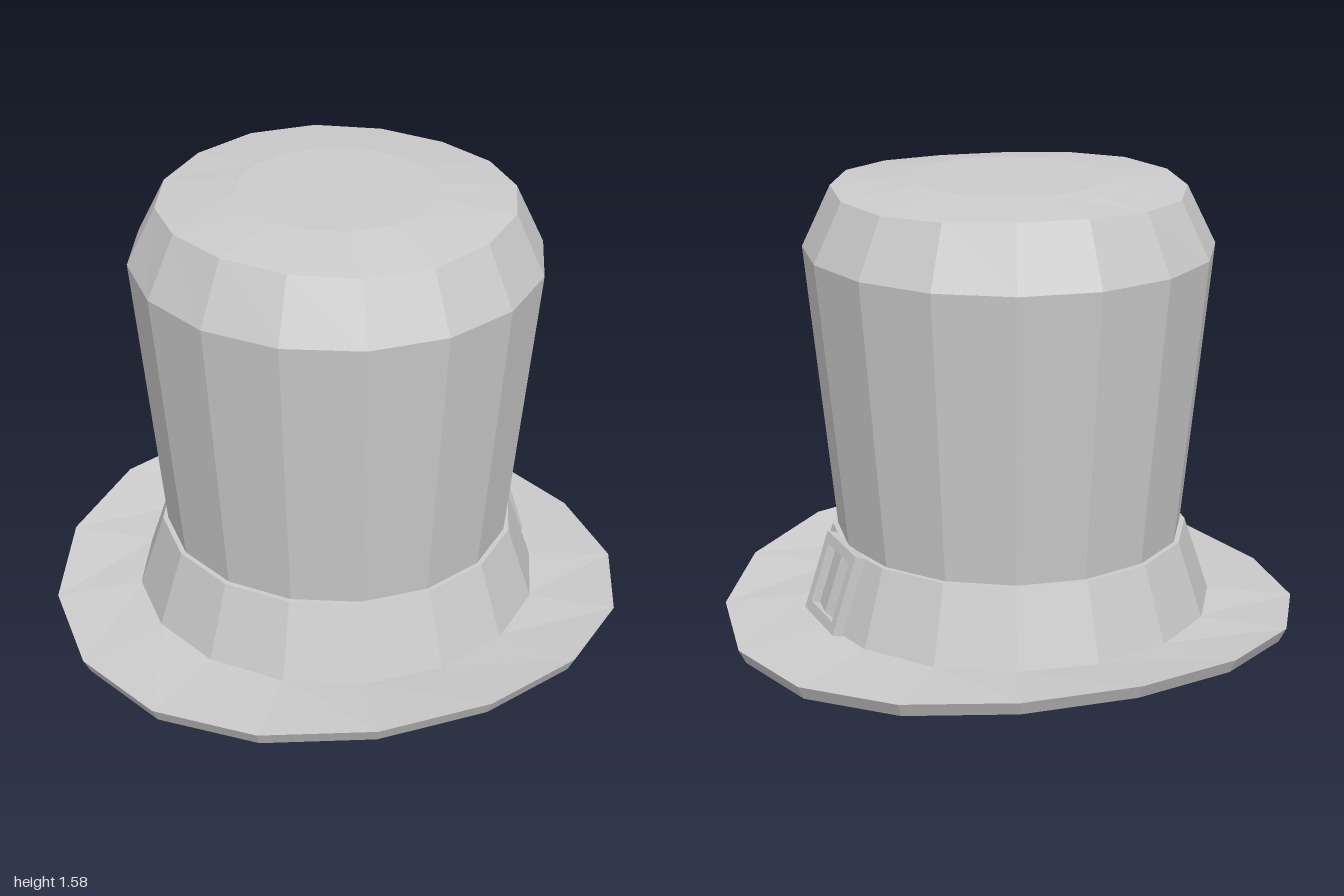
import * as THREE from 'three';

const SIDES = 16;
const material = new THREE.MeshStandardMaterial({ color: 0xcccccc, flatShading: true });

// Faceted ring or shell turned from [radius, height] pairs
function turned(name, profile) {
  const geometry = new THREE.LatheGeometry(profile.map(([r, y]) => new THREE.Vector2(r, y)), SIDES);
  const mesh = new THREE.Mesh(geometry, material);
  mesh.name = name;
  return mesh;
}

// Moves each vertex's height by rule(x, z, y)
function shiftHeights(mesh, rule) {
  const p = mesh.geometry.attributes.position;
  for (let i = 0; i < p.count; i++) {
    p.setY(i, p.getY(i) + rule(p.getX(i), p.getZ(i), p.getY(i)));
  }
  mesh.geometry.computeVertexNormals();
}

function rectangle(path, w, h) {
  path.moveTo(-w / 2, -h / 2);
  path.lineTo(w / 2, -h / 2);
  path.lineTo(w / 2, h / 2);
  path.lineTo(-w / 2, h / 2);
  path.closePath();
  return path;
}

export function createModel() {
  const hat = new THREE.Group();
  hat.name = 'topHat';

  // Brim: drops at the sides, rises at front and back
  const brim = turned('brim', [[0.67, 0.055], [0.975, 0.05], [1, 0.1], [0.69, 0.1]]);
  shiftHeights(brim, (x, z) => {
    const r = Math.hypot(x, z);
    const t = Math.max(0, (r - 0.7) / 0.3);
    return 0.05 * Math.min(1, t * 1.09) * (z * z - x * x) / (r * r);
  });
  hat.add(brim);

  // Flared band with a narrow ledge on top
  hat.add(turned('band', [[0.705, 0.09], [0.615, 0.36], [0.59, 0.36]]));

  // Crown with bevelled shoulder and slightly uneven top rim
  const crown = turned('crown', [[0.597, 0.355], [0.695, 1.35], [0.597, 1.553], [0.335, 1.583], [0, 1.583]]);
  shiftHeights(crown, (x, z, y) =>
    Math.abs(y - 1.553) < 0.01 ? 0.008 * Math.sin(3 * Math.atan2(x, z) - 1) : 0);
  hat.add(crown);

  // Hollow inside
  hat.add(turned('lining', [[0, 1.54], [0.56, 1.51], [0.66, 1.34], [0.57, 0.36], [0.67, 0.055]]));

  // Square buckle leaning against the band on the left side
  const frame = rectangle(new THREE.Shape(), 0.272, 0.282);
  frame.holes.push(rectangle(new THREE.Path(), 0.2, 0.21));
  const buckleGeometry = new THREE.ExtrudeGeometry(frame, { depth: 0.035, bevelEnabled: false });
  buckleGeometry.translate(0, 0, -0.035);
  buckleGeometry.rotateY(Math.PI / 2);
  const buckle = new THREE.Mesh(buckleGeometry, material);
  buckle.name = 'buckle';
  buckle.position.set(0.669, 0.24, 0);
  buckle.rotation.z = 0.32;
  hat.add(buckle);

  return hat;
}
